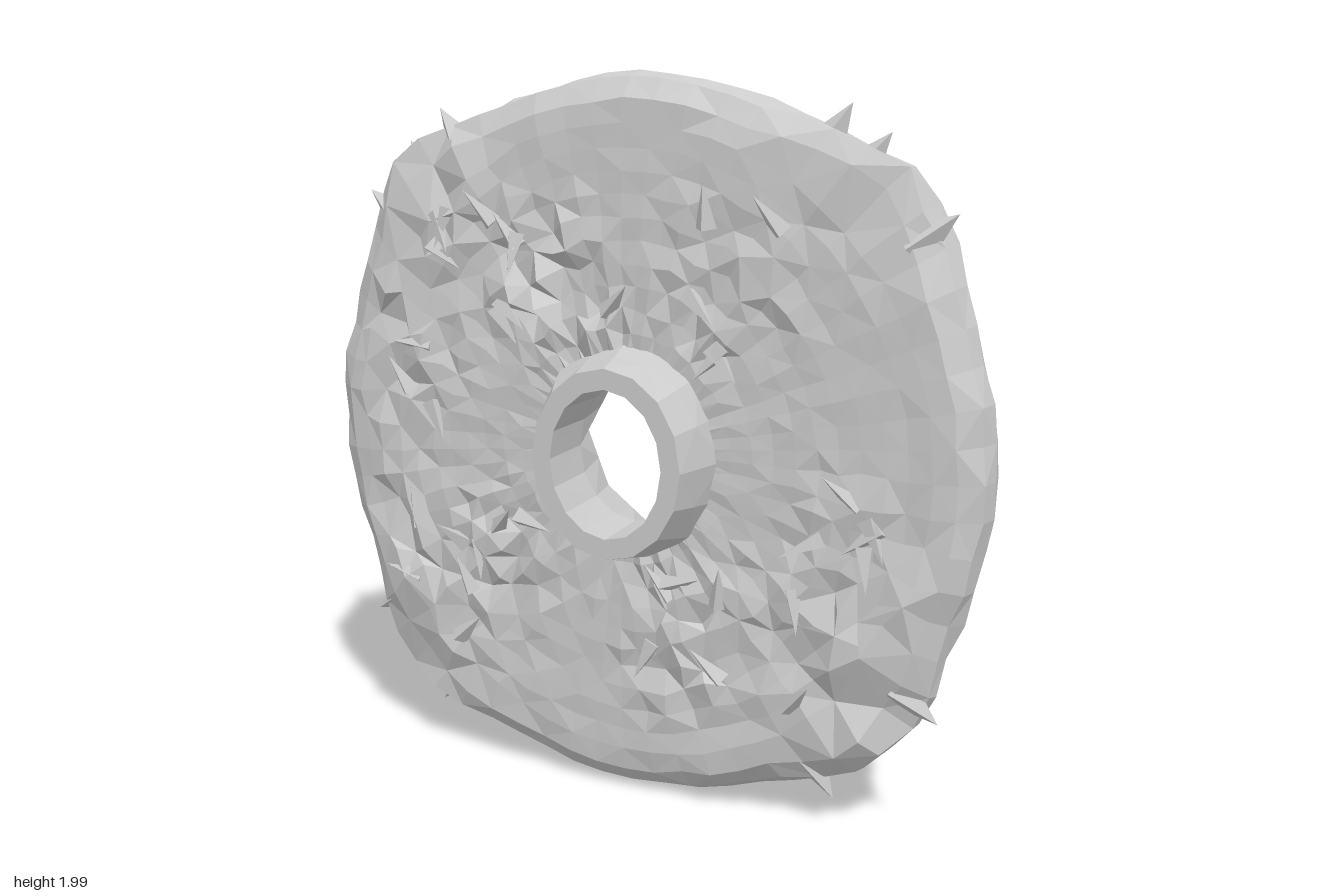
import * as THREE from 'three';

const material = new THREE.MeshStandardMaterial({ color: 0xcccccc, flatShading: true, side: THREE.DoubleSide });
const TAU = Math.PI * 2;

// Small seeded generator, returns -1..1
let seed = 7;
const rnd = () => {
  seed = (seed * 16807) % 2147483647;
  return (seed / 2147483647) * 2 - 1;
};

// Closed rings (arrays of [x, y, z]) joined into a skin
function loft(name, rings) {
  const n = rings[0].length, index = [];
  for (let j = 0; j < rings.length - 1; j++) {
    for (let i = 0; i < n; i++) {
      const k = (i + 1) % n, a = j * n, b = a + n;
      if ((i + j) % 2) index.push(a + i, a + k, b + i, a + k, b + k, b + i);
      else index.push(a + i, a + k, b + k, a + i, b + k, b + i);
    }
  }
  const g = new THREE.BufferGeometry();
  g.setAttribute('position', new THREE.Float32BufferAttribute(rings.flat(2), 3));
  g.setIndex(index);
  g.computeVertexNormals();
  const mesh = new THREE.Mesh(g, material);
  mesh.name = name;
  return mesh;
}

const ring = (n, f) => Array.from({ length: n }, (_, i) => f((i / n) * TAU, i));

// Irregular, roughly diamond-shaped opening in the flat back
const openingRadii = [0.4, 0.2, 0.3, 0.2, 0.22, 0.22, 0.27, 0.23];
function opening(t, z) {
  const f = (t / TAU) * 8, i = Math.floor(f + 1e-6), u = f - i;
  const p = (k) => {
    const r = openingRadii[k % 8], a = (k / 8) * TAU;
    return [0.01 + r * Math.cos(a), r * Math.sin(a)];
  };
  const [x0, y0] = p(i), [x1, y1] = p(i + 1);
  return [x0 + (x1 - x0) * u, y0 + (y1 - y0) * u, z];
}

// Rough patches on the front: x, y, radius, strength
const patches = [
  [-0.8, 0.25, 0.3, 1], [-0.65, 0.7, 0.28, 1.1], [-0.3, 0.45, 0.22, 1.2], [-0.75, -0.4, 0.28, 1],
  [-0.4, -0.35, 0.2, 0.9], [0.7, -0.45, 0.34, 1], [0.2, -0.5, 0.24, 0.9], [0.3, 0.45, 0.25, 0.7],
  [0.72, 0.7, 0.2, 1], [0.65, -0.1, 0.15, 0.7], [-0.6, -0.75, 0.25, 1], [-0.1, 0.3, 0.15, 0.9],
];
const roughness = (x, y) => patches.reduce(
  (s, [px, py, r, k]) => Math.max(s, k * Math.exp(-((x - px) ** 2 + (y - py) ** 2) / (r * r))), 0.12);

// Swelling of the rim at the four diagonal corners
const corner = (t) => Math.exp(-(((((t / TAU) * 4) % 1) - 0.5) ** 2) / 0.022);

function createPlate() {
  const N = 64;
  const rings = [ring(N, (t) => opening(t, -0.09))];
  // Flat back edge and rounded rim: radius, depth, corner swell
  for (const [r, z, swell] of [[0.93, -0.09, 0], [0.972, -0.065, 0.03], [0.992, -0.01, 0.07], [0.975, 0.045, 0.075], [0.92, 0.085, 0.06]]) {
    rings.push(ring(N, (t) => {
      const c = corner(t), j = swell ? 0.007 + 0.02 * c : 0.004;
      const rr = Math.min(r + swell * c + rnd() * j, 0.996 + 0.09 * c);
      return [rr * Math.cos(t), rr * Math.sin(t), z + (swell ? rnd() * (0.008 + 0.02 * c) : 0)];
    }));
  }
  // Craggy front face
  for (const r of [0.86, 0.8, 0.74, 0.68, 0.62, 0.56, 0.5, 0.44, 0.38, 0.32, 0.22]) {
    rings.push(ring(N, (t) => {
      const q = roughness(r * Math.cos(t), r * Math.sin(t));
      const rr = r + rnd() * 0.025 * q, a = t + rnd() * 0.035 * q;
      return [rr * Math.cos(a), rr * Math.sin(a), 0.092 + q * (0.008 + rnd() * 0.03)];
    }));
  }
  return loft('plate', rings);
}

function createHub() {
  const oval = (cx, rx, ry, z, j = 0) => ring(16, (t) => {
    const k = 1 + rnd() * j;
    return [cx + rx * k * Math.cos(t), -0.01 + ry * k * Math.sin(t), z];
  });
  return loft('hub', [
    oval(0.0, 0.28, 0.3, 0.06, 0.04),
    oval(0.015, 0.25, 0.275, 0.16, 0.03),
    oval(0.03, 0.22, 0.255, 0.248),
    oval(0.03, 0.165, 0.2, 0.248),
    oval(0.02, 0.17, 0.195, 0.06),
    ring(16, (t) => opening(t, -0.09)),
  ]);
}

// Pointed shard with its base at (x, y, z), pointing along dir
function shard(name, x, y, z, dir, radius, length) {
  const mesh = new THREE.Mesh(new THREE.ConeGeometry(radius, length, 4), material);
  mesh.name = name;
  mesh.quaternion.setFromUnitVectors(new THREE.Vector3(0, 1, 0), dir.normalize());
  mesh.position.set(x, y, z).addScaledVector(dir, length / 2);
  return mesh;
}

export function createModel() {
  const body = new THREE.Group();
  body.name = 'weatheredDisc';
  body.add(createPlate(), createHub());

  // Jagged points on the rim: tip x, tip y, depth
  const tips = [
    [0.6, 0.91, 0.03], [0.7, 0.84, 0.02], [0.88, 0.65, 0.05], [-0.61, 0.9, 0.05], [-0.73, 0.81, 0.02],
    [-0.86, 0.67, 0.05], [-0.88, -0.6, 0.06], [-0.66, -0.86, 0.03], [0.6, -0.91, 0.03], [0.88, -0.64, 0.05],
  ];
  for (const [x, y, z] of tips) {
    const dir = new THREE.Vector3(x, y, 0).normalize();
    const base = Math.hypot(x, y) - 0.14;
    body.add(shard('rimShard', dir.x * base, dir.y * base, z * 0.6, new THREE.Vector3(dir.x, dir.y, z * 0.4), 0.06, 0.14));
  }

  // Low slivers lying across the rough patches
  for (const [px, py, r] of patches) {
    for (let i = 0; i < 5; i++) {
      const x = px + rnd() * r * 0.65, y = py + rnd() * r * 0.65, d = Math.hypot(x, y);
      const dir = new THREE.Vector3(rnd(), rnd(), 0.2);
      if (d > 0.34 && d < 0.88) body.add(shard('frontSliver', x, y, 0.09, dir, 0.03, 0.12));
    }
  }

  body.position.y = 1;
  body.rotation.y = 0.262;
  const model = new THREE.Group();
  model.name = 'model';
  model.add(body);
  return model;
}
